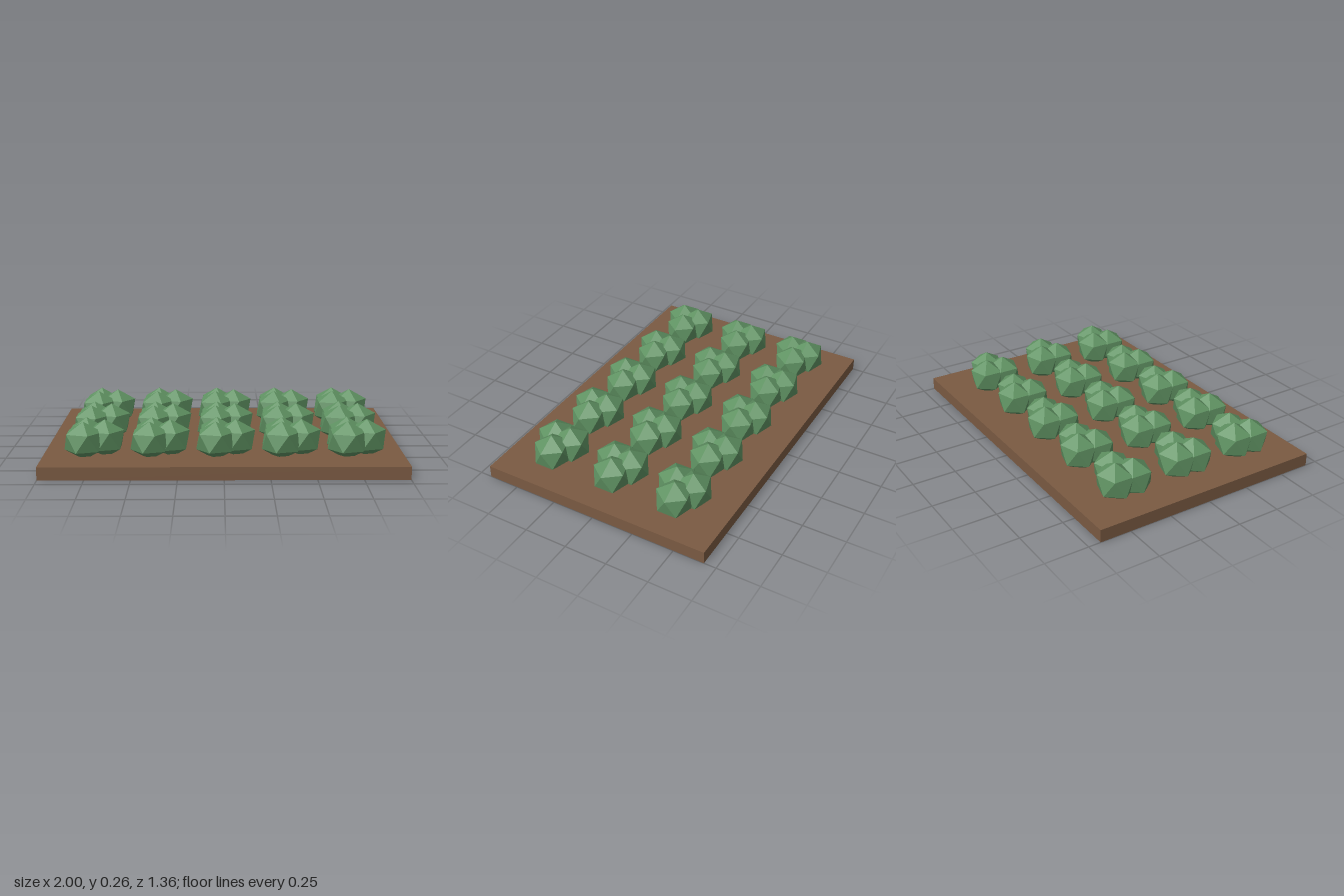
import * as THREE from 'three';

export function createModel() {
  const model = new THREE.Group();
  model.name = 'gardenBed';

  const soilMaterial = new THREE.MeshStandardMaterial({ color: 0x7a5a42, flatShading: true });
  const leafMaterial = new THREE.MeshStandardMaterial({ color: 0x5f9262, flatShading: true });

  // Flat slab of soil
  const soilHeight = 0.073;
  const soil = new THREE.Mesh(new THREE.BoxGeometry(2, soilHeight, 1.36), soilMaterial);
  soil.name = 'soil';
  soil.position.y = soilHeight / 2;
  model.add(soil);

  // Leaf clump: icosahedron turned so one corner points straight up
  const clumpGeometry = new THREE.IcosahedronGeometry(0.109, 0);
  clumpGeometry.rotateZ(-Math.atan(2 / (1 + Math.sqrt(5))));
  clumpGeometry.scale(1.1, 1, 1);

  // Three overlapping clumps make one plant: [x, z]
  const clumpOffsets = [[0.067, 0], [-0.039, -0.052], [-0.046, 0.052]];

  function createPlant() {
    const plant = new THREE.Group();
    plant.name = 'plant';
    for (const [x, z] of clumpOffsets) {
      const clump = new THREE.Mesh(clumpGeometry, leafMaterial);
      clump.name = 'leafClump';
      clump.position.set(x, 0.155, z);
      plant.add(clump);
    }
    return plant;
  }

  // Three rows of five plants
  for (let row = -1; row <= 1; row++) {
    for (let column = -2; column <= 2; column++) {
      const plant = createPlant();
      plant.position.set(column * 0.364, 0, row * 0.391);
      model.add(plant);
    }
  }

  return model;
}
